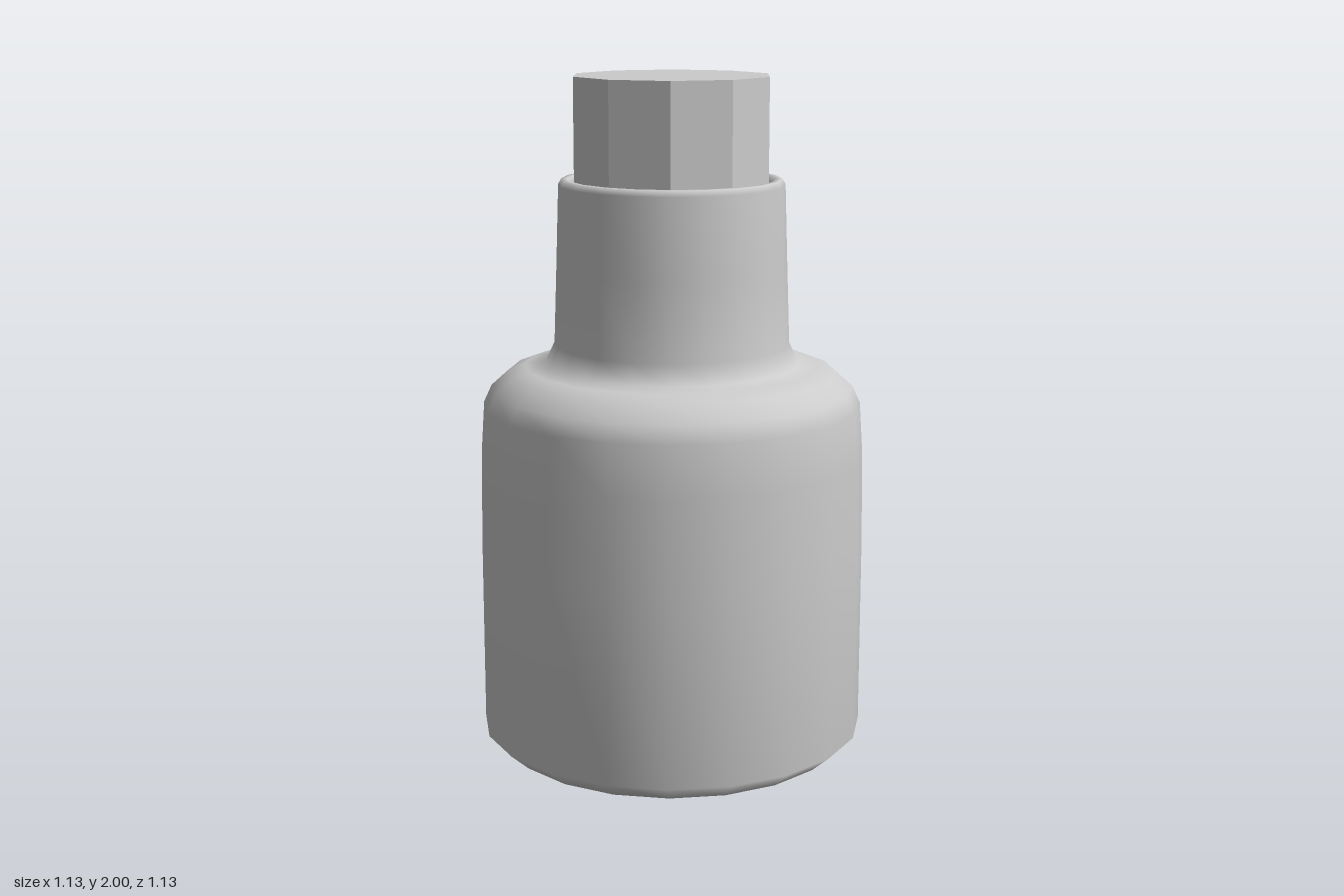
import * as THREE from 'three';

export function createModel() {
  const group = new THREE.Group();
  const smooth = new THREE.MeshStandardMaterial({ color: 0xcccccc, side: THREE.DoubleSide });
  const faceted = new THREE.MeshStandardMaterial({ color: 0xcccccc, flatShading: true });

  // Bottle: base, rounded shoulder, flared neck and the inside of the lip
  const profile = [
    [0, 0], [0.35, 0.005], [0.51, 0.02], [0.567, 0.07],
    [0.567, 0.62], [0.563, 0.9], [0.553, 1.05], [0.53, 1.1],
    [0.48, 1.145], [0.43, 1.165], [0.37, 1.172], [0.343, 1.23],
    [0.335, 1.45], [0.327, 1.69], [0.318, 1.707], [0.3, 1.707],
    [0.286, 1.69], [0.284, 1.55],
  ].map(([r, y]) => new THREE.Vector2(r, y));
  const bottle = new THREE.Mesh(new THREE.LatheGeometry(profile, 20), smooth);
  bottle.name = 'bottle';
  group.add(bottle);

  // Ten-sided stopper seated in the neck
  const bottom = 1.55, top = 2;
  const stopper = new THREE.Mesh(
    new THREE.CylinderGeometry(0.29, 0.29, top - bottom, 10, 1, false, Math.PI / 2),
    faceted
  );
  stopper.position.y = (top + bottom) / 2;
  stopper.name = 'stopper';
  group.add(stopper);

  return group;
}
